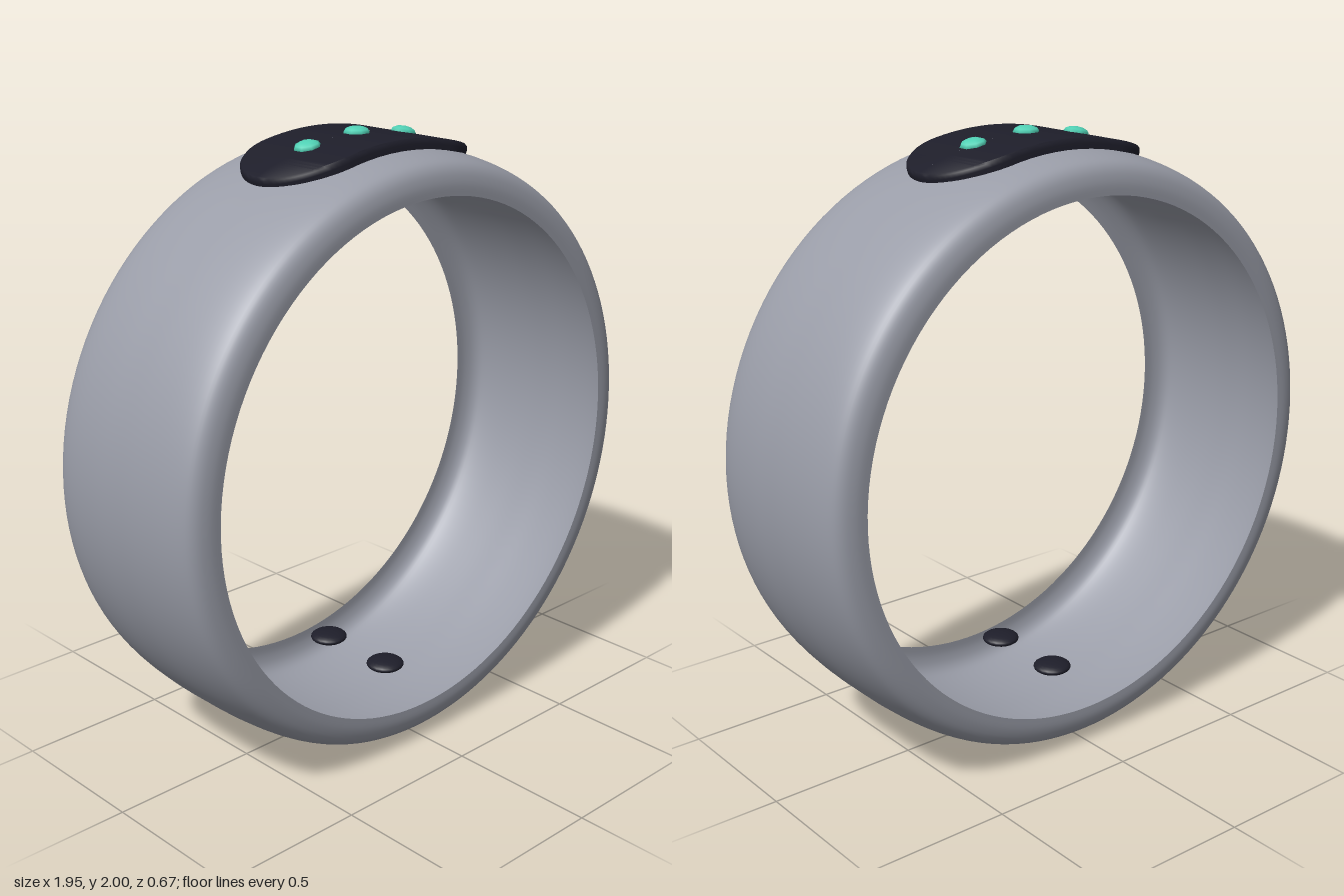
import * as THREE from 'three';
import { toCreasedNormals } from 'three/addons/utils/BufferGeometryUtils.js';

const CENTER_Y = 0.977; // height of the ring's axis

const metal = new THREE.MeshStandardMaterial({ color: 0x9a9da8, side: THREE.DoubleSide });
metal.name = 'greyMetal';
const dark = new THREE.MeshStandardMaterial({ color: 0x1e1e2a });
dark.name = 'darkGlass';
const green = new THREE.MeshStandardMaterial({ color: 0x50d0b4 });
green.name = 'mintGreen';

function addMesh(parent, name, geometry, material) {
  const mesh = new THREE.Mesh(geometry, material);
  mesh.name = name;
  parent.add(mesh);
  return mesh;
}

// Thin shell with a slight crown and rounded shoulders turning into inner lips
function bandGeometry() {
  const half = [
    [0.976, 0.1], [0.967, 0.21], [0.95, 0.285], [0.925, 0.318], [0.885, 0.332], [0.845, 0.333],
  ];
  const points = [
    ...half.map(([r, z]) => new THREE.Vector2(r, -z)).reverse(),
    new THREE.Vector2(0.977, 0),
    ...half.map(([r, z]) => new THREE.Vector2(r, z)),
  ];
  const profile = new THREE.SplineCurve(points).getPoints(48);
  return new THREE.LatheGeometry(profile, 128).rotateX(Math.PI / 2);
}

// Stadium-shaped plate wrapped around the ring's axis
function plateGeometry() {
  const straight = 0.213, radius = 0.2;
  const shape = new THREE.Shape();
  shape.absarc(straight, 0, radius, -Math.PI / 2, Math.PI / 2);
  shape.absarc(-straight, 0, radius, Math.PI / 2, Math.PI * 1.5);
  shape.closePath();
  const outline = shape.getSpacedPoints(120);
  // each level: scale along x, scale along z, distance from the axis
  const levels = [
    [0.98, 0, 0.94], [1, 1, 0.94], [1, 1, 0.985], [0.994, 0.985, 0.997], [0.98, 0.96, 1.002], [0.98, 0, 1.002],
  ];
  const positions = [], index = [];
  const n = outline.length;
  levels.forEach(([sx, sz, r], j) => {
    outline.forEach((p, i) => {
      const a = Math.asin(p.x * sx);
      positions.push(r * Math.sin(a), r * Math.cos(a), p.y * sz);
      if (j < levels.length - 1 && i < n - 1) {
        const k = j * n + i;
        index.push(k, k + n, k + n + 1, k, k + n + 1, k + 1);
      }
    });
  });
  const geometry = new THREE.BufferGeometry();
  geometry.setAttribute('position', new THREE.Float32BufferAttribute(positions, 3));
  geometry.setIndex(index);
  return toCreasedNormals(geometry, 0.7);
}

export function createModel() {
  const model = new THREE.Group();
  model.name = 'smartRing';

  const ring = new THREE.Group();
  ring.name = 'ring';
  ring.position.y = CENTER_Y;
  model.add(ring);

  addMesh(ring, 'band', bandGeometry(), metal);
  addMesh(ring, 'sensorPlate', plateGeometry(), dark);

  // Three small domes along the plate
  const domeGeometry = new THREE.SphereGeometry(0.043, 8, 6).rotateY(Math.PI / 8).scale(1, 0.45, 1);
  for (const x of [-0.205, 0, 0.205]) {
    const a = Math.asin(x);
    const dome = addMesh(ring, 'indicatorLight', domeGeometry, green);
    dome.position.set(x, 1.003 * Math.cos(a), 0);
    dome.rotation.z = -a;
  }

  // Pair of flattened contacts inside the bottom of the ring
  const contactGeometry = new THREE.SphereGeometry(0.063, 20, 12).scale(1, 0.33, 1);
  for (const z of [-0.14, 0.14]) {
    addMesh(ring, 'innerContact', contactGeometry, dark).position.set(0, 0.205 - CENTER_Y, z);
  }

  return model;
}
